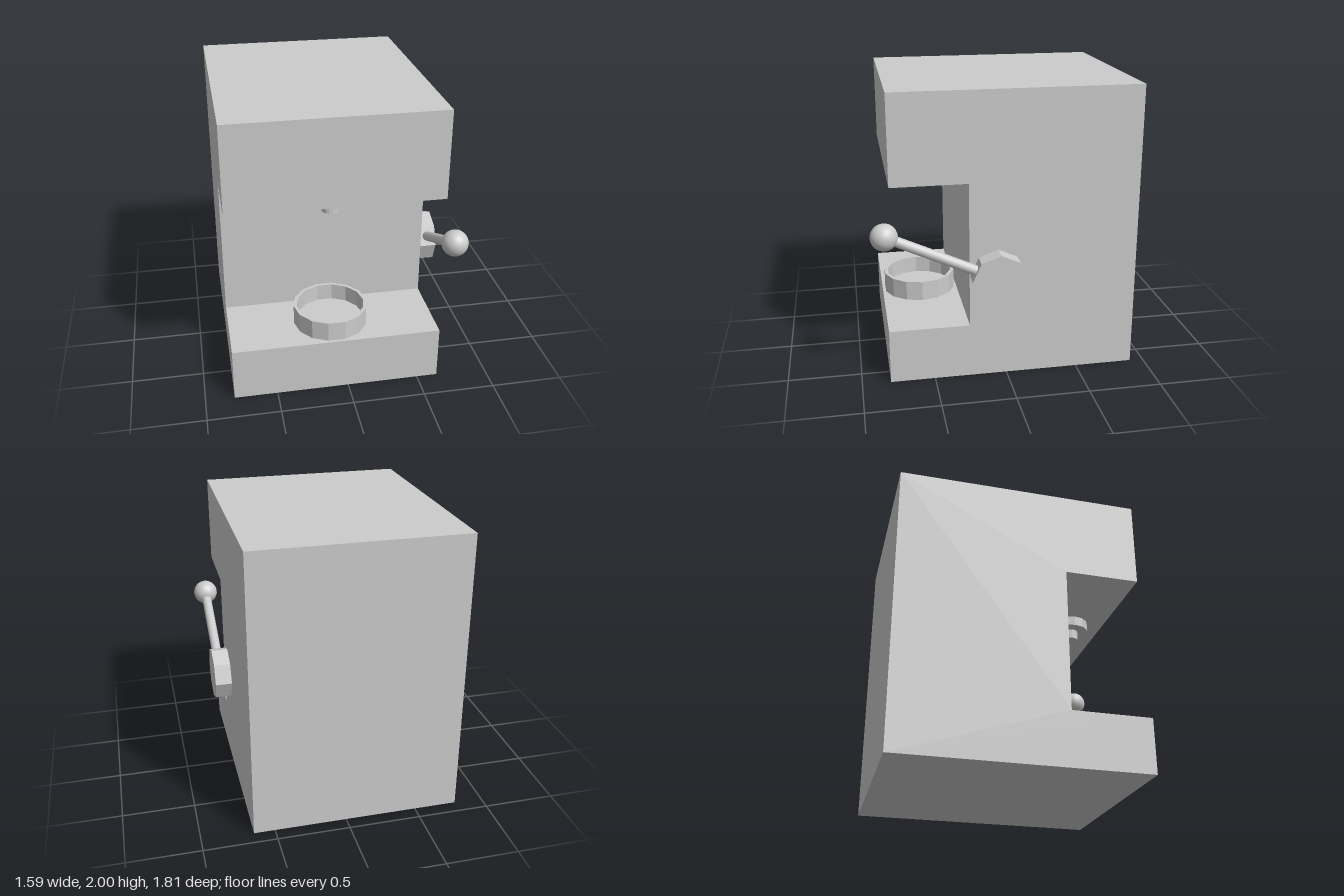
import * as THREE from 'three';

const smooth = new THREE.MeshStandardMaterial({ color: 0xcccccc });
const flat = new THREE.MeshStandardMaterial({ color: 0xcccccc, flatShading: true });

export function createModel() {
  const model = new THREE.Group();

  function add(name, geometry, material, parent = model) {
    const mesh = new THREE.Mesh(geometry, material);
    mesh.name = name;
    parent.add(mesh);
    return mesh;
  }

  // C-shaped housing: side profile (z, y) extruded across the width
  const profile = [
    [-0.905, 0], [0.805, 0], [0.805, 0.38], [0.255, 0.38],
    [0.255, 1.39], [0.77, 1.39], [0.77, 2], [-0.905, 2],
  ].map(([z, y]) => new THREE.Vector2(z, y));
  const body = new THREE.ExtrudeGeometry(new THREE.Shape(profile), { depth: 1.445, bevelEnabled: false });
  body.rotateY(-Math.PI / 2).translate(0.645, 0, 0);
  add('housing', body, flat);

  // Stepped spout under the overhang
  for (const [name, radius, y] of [['spoutCollar', 0.135, 1.355], ['spoutNozzle', 0.06, 1.285]]) {
    const part = add(name, new THREE.CylinderGeometry(radius, radius, 0.07, 14), flat);
    part.position.set(-0.08, y, 0.52);
    part.rotation.y = Math.PI / 2;
  }

  // Open shallow dish on the base
  const dishProfile = [[0, 0], [0.26, 0], [0.26, 0.14], [0.236, 0.14], [0.236, 0.02], [0, 0.02]]
    .map(([r, y]) => new THREE.Vector2(r, y));
  const dish = add('dish', new THREE.LatheGeometry(dishProfile, 14), flat);
  dish.position.set(-0.08, 0.38, 0.53);
  dish.rotation.y = Math.PI / 2;

  // Octagonal knob on the side, with a raised lever and ball grip
  const handle = new THREE.Group();
  handle.name = 'handle';
  handle.position.set(0.703, 0.738, 0.067);
  model.add(handle);

  const knobGeometry = new THREE.CylinderGeometry(0.185, 0.185, 0.116, 8).rotateZ(-Math.PI / 2);
  const knob = add('knob', knobGeometry, flat, handle);
  knob.rotation.x = THREE.MathUtils.degToRad(-2);

  const lever = new THREE.Group();
  lever.name = 'lever';
  lever.rotation.x = THREE.MathUtils.degToRad(65.3);
  handle.add(lever);
  const rod = new THREE.CylinderGeometry(0.035, 0.035, 0.74, 16).translate(0, 0.45, 0);
  add('leverRod', rod, smooth, lever);
  add('leverBall', new THREE.SphereGeometry(0.09, 24, 16).translate(0, 0.823, 0), smooth, lever);

  return model;
}
